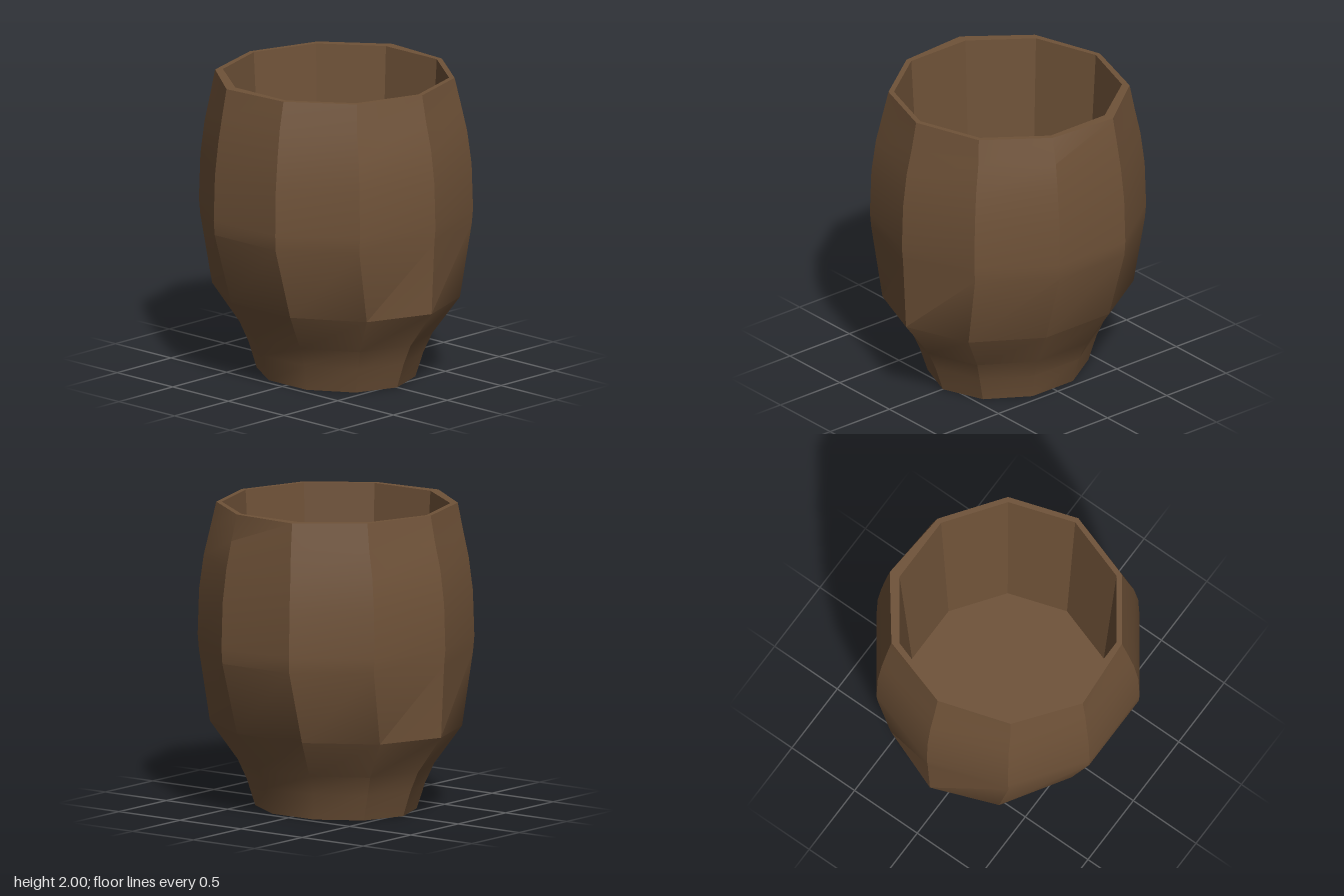
import * as THREE from 'three';
import { toCreasedNormals } from 'three/addons/utils/BufferGeometryUtils.js';

const SIDES = 10;
const wood = new THREE.MeshStandardMaterial({ color: 0x6f5238 });

// Skin ten-sided rings given as [y, radiusX, reach of z on the +x side, reach of z on the -x side].
function loft(name, rings, crease) {
  const pos = [], index = [];
  for (const [y, rx, zRight, zLeft = zRight] of rings) {
    for (let i = 0; i < SIDES; i++) {
      const a = (i / SIDES) * Math.PI * 2;
      const rz = (Math.cos(a) > 0 ? zRight : zLeft) / Math.sin(Math.PI * 0.4);
      pos.push(rx * Math.cos(a), y, rz * Math.sin(a));
    }
  }
  for (let r = 0; r < rings.length - 1; r++) {
    for (let i = 0; i < SIDES; i++) {
      const j = (i + 1) % SIDES;
      const a = r * SIDES + i, b = r * SIDES + j;
      const c = a + SIDES, d = b + SIDES;
      index.push(a, c, b, b, c, d);
    }
  }
  const geo = new THREE.BufferGeometry();
  geo.setAttribute('position', new THREE.Float32BufferAttribute(pos, 3));
  geo.setIndex(index);
  const mesh = new THREE.Mesh(toCreasedNormals(geo, crease), wood);
  mesh.name = name;
  return mesh;
}

// Flat ten-sided disc, facing up or down
function disc(name, y, rx, zReach, up) {
  const geo = new THREE.CircleGeometry(1, SIDES);
  geo.rotateX(up ? -Math.PI / 2 : Math.PI / 2);
  geo.scale(rx, 1, zReach / Math.sin(Math.PI * 0.4));
  geo.translate(0, y, 0);
  const mesh = new THREE.Mesh(geo, wood);
  mesh.name = name;
  return mesh;
}

export function createModel() {
  const group = new THREE.Group();
  group.name = 'barrel';

  const top = [2, 0.775, 0.735, 0.77];
  const innerTop = [2, 0.74, 0.7];
  const floorRing = [0.52, 0.65, 0.62];

  // Bulging outside with a narrow foot
  group.add(loft('outerWall', [
    [0, 0.55, 0.45],
    [0.17, 0.61, 0.49],
    [0.3, 0.67, 0.545],
    [0.55, 0.86, 0.7],
    [1.03, 0.885, 0.845],
    [1.13, 0.895, 0.85],
    [1.43, 0.885, 0.842],
    [1.65, 0.855, 0.815, 0.82],
    [1.83, 0.81, 0.78, 0.797],
    top,
  ], 0.55));

  // Thin rim, tapering inside and floor
  group.add(loft('rim', [top, innerTop], 0.5));
  group.add(loft('innerWall', [innerTop, floorRing], 0.5));
  group.add(disc('floor', floorRing[0], floorRing[1], floorRing[2], true));

  // Underside
  group.add(disc('base', 0, 0.55, 0.45, false));
  return group;
}
